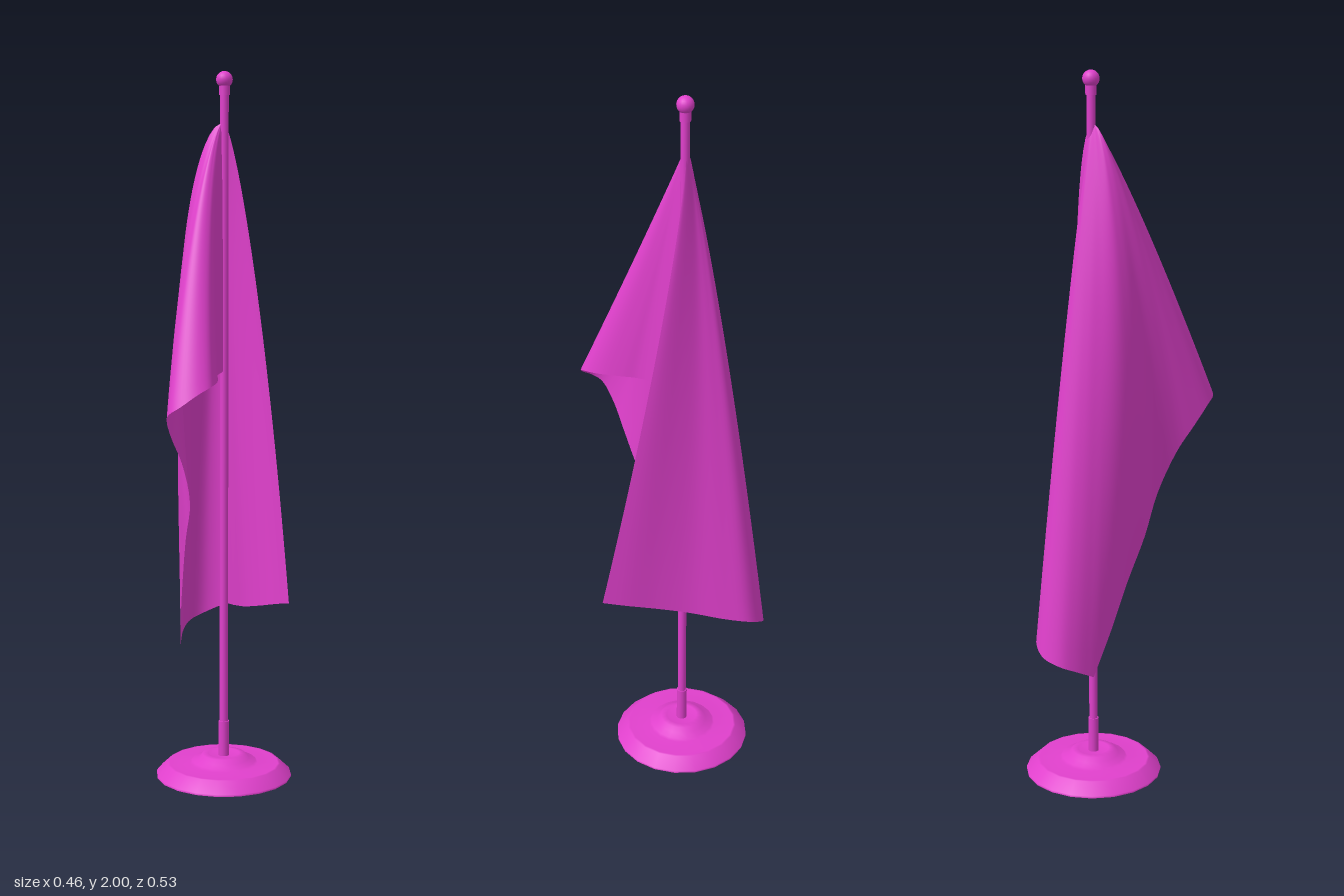
import * as THREE from 'three';

const POLE_X = -0.022, POLE_Z = -0.073;
const { lerp, smoothstep } = THREE.MathUtils;

// Smooth curve sampled through a few points
function sample(points, n) {
  const curve = new THREE.CatmullRomCurve3(points.map(p => new THREE.Vector3(...p)), false, 'centripetal');
  return curve.getPoints(n);
}

// Cloth hanging as a fan of lines from the top of the hoist to its outer edge
function drapedCloth() {
  const lowerEdge = sample([
    [-0.015, 1.178, -0.06], [0.01, 1.178, -0.03], [0.055, 1.176, 0.045], [0.09, 1.175, 0.08],
    [0.135, 1.17, 0.135], [0.152, 1.163, 0.18], [0.142, 1.145, 0.22], [0.115, 1.115, 0.255],
    [0.085, 1.095, 0.265], [0.06, 1.075, 0.25], [0.043, 1.02, 0.213], [0.036, 0.947, 0.165],
    [0.015, 0.83, 0.11], [-0.035, 0.715, 0.073], [-0.09, 0.6, 0.025], [-0.14, 0.475, -0.02],
    [-0.187, 0.355, -0.068],
  ], 64);
  const flyEdge = sample([
    [-0.187, 0.355, -0.068], [-0.222, 0.385, -0.118], [-0.235, 0.405, -0.162], [-0.215, 0.425, -0.208],
    [-0.155, 0.455, -0.228], [-0.09, 0.468, -0.197], [-0.007, 0.487, -0.146], [0.08, 0.51, -0.111],
    [0.17, 0.535, -0.083], [0.23, 0.55, -0.058],
  ], 40);
  const edge = [...lowerEdge, ...flyEdge.slice(1)];
  const top = new THREE.Vector3(-0.022, 1.862, -0.068);
  const rows = 28, cols = edge.length, pos = [], index = [];
  for (let r = 0; r <= rows; r++) {
    const t = (r / rows) ** 1.3;
    const bow = Math.sqrt(t) * (1 - t);
    edge.forEach((e, c) => {
      const k = c / (cols - 1);
      // the whole cloth leans off the pole, its middle billows, its top edge sags back
      const lean = 0.054 * Math.min(1, k * 5) * (1 - smoothstep(k, 0.85, 1));
      const billow = smoothstep(k, 0.3, 0.48) * (1 - smoothstep(k, 0.53, 0.74));
      const sag = 0.12 * smoothstep(k, 0.75, 1);
      pos.push(
        lerp(top.x, e.x, t) - (lean + 0.11 * billow) * bow,
        lerp(top.y, e.y, t),
        lerp(top.z, e.z, t ** 0.85) + (0.09 * billow - sag) * bow);
    });
  }
  for (let r = 0; r < rows; r++) {
    for (let c = 0; c < cols - 1; c++) {
      const a = r * cols + c, b = a + cols;
      if (r > 0) index.push(a, b, a + 1);
      index.push(a + 1, b, b + 1);
    }
  }
  const geometry = new THREE.BufferGeometry();
  geometry.setAttribute('position', new THREE.Float32BufferAttribute(pos, 3));
  geometry.setIndex(index);
  geometry.computeVertexNormals();
  return geometry;
}

export function createModel() {
  const model = new THREE.Group();
  model.name = 'flagOnStand';
  const magenta = new THREE.MeshStandardMaterial({ color: 0xe040cc, side: THREE.DoubleSide });
  magenta.name = 'magenta';

  const stand = new THREE.Group();
  stand.name = 'stand';
  stand.position.set(POLE_X, 0, POLE_Z);
  model.add(stand);

  const add = (parent, name, geometry, y = 0) => {
    const mesh = new THREE.Mesh(geometry, magenta);
    mesh.name = name;
    mesh.position.y = y;
    parent.add(mesh);
  };
  const rod = (name, radius, y0, y1) =>
    add(stand, name, new THREE.CylinderGeometry(radius, radius, y1 - y0, 16), (y0 + y1) / 2);

  // Stepped round foot, with doubled points where an edge stays sharp
  const profile = [
    [0, 0], [0.195, 0], [0.195, 0], [0.195, 0.006], [0.163, 0.036], [0.157, 0.037], [0.098, 0.037],
    [0.092, 0.044], [0.072, 0.05], [0.062, 0.062], [0.045, 0.064], [0.04, 0.058], [0, 0.058],
  ].map(p => new THREE.Vector2(...p));
  add(stand, 'foot', new THREE.LatheGeometry(profile, 20));

  // Pole with its socket, collar and ball
  rod('socket', 0.015, 0.05, 0.16);
  rod('pole', 0.012, 0.05, 1.96);
  rod('collar', 0.015, 1.935, 1.962);
  add(stand, 'ball', new THREE.SphereGeometry(0.023, 20, 14), 1.977);

  // Draped flag
  add(model, 'flag', drapedCloth());
  return model;
}
